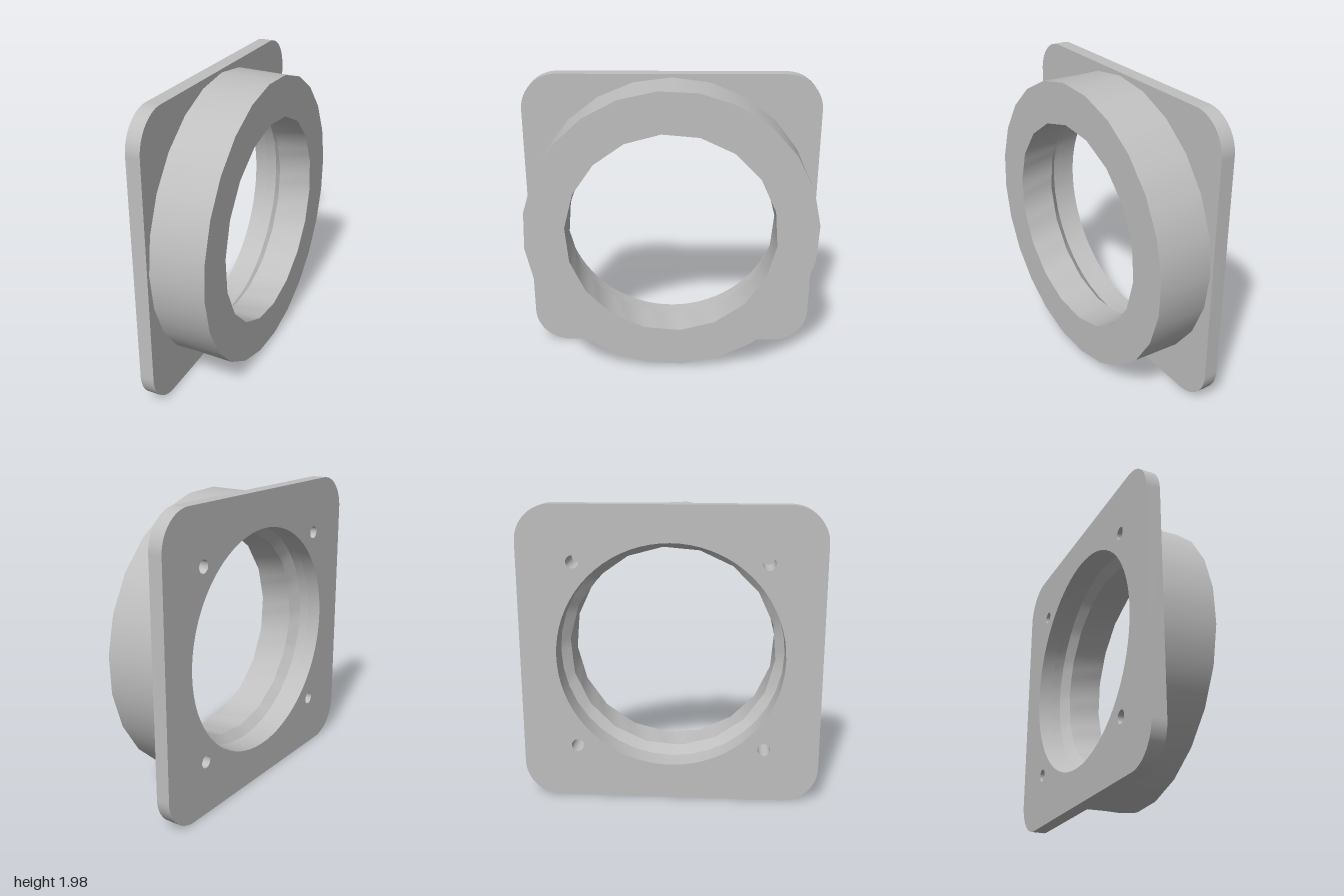
import * as THREE from 'three';
import { toCreasedNormals } from 'three/addons/utils/BufferGeometryUtils.js';

const STEPS = 72;
const CREASE = 0.6;

// Radius of a regular n-gon (corner radius r, first corner at phase degrees) at angle a.
function polygonRadius(r, n, phase, a) {
  const sector = (2 * Math.PI) / n;
  let t = (a - THREE.MathUtils.degToRad(phase)) % sector;
  if (t < 0) t += sector;
  return (r * Math.cos(sector / 2)) / Math.cos(t - sector / 2);
}

// Surface through successive rings [x, radius, sides, phase] around the x axis.
function loftRings(rings) {
  const positions = [];
  const index = [];
  rings.forEach(([x, r, n, phase], k) => {
    for (let j = 0; j < STEPS; j++) {
      const a = (j / STEPS) * 2 * Math.PI;
      const rad = polygonRadius(r, n, phase, a);
      positions.push(x, rad * Math.sin(a), -rad * Math.cos(a));
      if (k < rings.length - 1) {
        const p = k * STEPS + j;
        const q = k * STEPS + ((j + 1) % STEPS);
        index.push(p, q, p + STEPS, q, q + STEPS, p + STEPS);
      }
    }
  });
  const g = new THREE.BufferGeometry();
  g.setAttribute('position', new THREE.Float32BufferAttribute(positions, 3));
  g.setIndex(index);
  return toCreasedNormals(g, CREASE);
}

function roundedSquare(h, r) {
  const s = new THREE.Shape();
  const c = h - r;
  s.absarc(c, c, r, 0, Math.PI / 2);
  s.absarc(-c, c, r, Math.PI / 2, Math.PI);
  s.absarc(-c, -c, r, Math.PI, 1.5 * Math.PI);
  s.absarc(c, -c, r, 1.5 * Math.PI, 2 * Math.PI);
  s.closePath();
  return s;
}

export function createModel() {
  const grey = new THREE.MeshStandardMaterial({ color: 0xbfbfbf, side: THREE.DoubleSide });
  grey.name = 'grey';

  const thick = 0.095; // flange plate
  const depth = 0.46; // plate and collar together
  const boreR = 0.75;
  const holeR = 0.042;
  const holeAt = 0.625;
  const corners = [[1, 1], [1, -1], [-1, 1], [-1, -1]];

  const adapter = new THREE.Group();
  adapter.name = 'flangedCollar';
  const add = (name, geometry) => {
    const m = new THREE.Mesh(geometry, grey);
    m.name = name;
    adapter.add(m);
    return m;
  };

  // Square flange with the bore and four screw holes
  const outline = roundedSquare(0.99, 0.24);
  const cut = (x, y, r) => outline.holes.push(new THREE.Path().absarc(x, y, r, 0, 2 * Math.PI, true));
  cut(0, 0, boreR);
  corners.forEach(([sy, sz]) => cut(sz * holeAt, sy * holeAt, holeR));
  const plate = new THREE.ExtrudeGeometry(outline, { depth: thick, bevelEnabled: false, curveSegments: 36 });
  plate.rotateY(Math.PI / 2);
  add('flangePlate', toCreasedNormals(plate, CREASE));

  // Collar: outer wall, front face, narrow bore, chamfer, wide bore
  add('collar', loftRings([
    [thick, 0.968, 24, 0],
    [depth, 0.968, 24, 5],
    [depth, 0.697, 18, 15],
    [0.22, 0.697, 18, 5],
    [0.165, boreR, 36, 0],
    [thick, boreR, 72, 0],
  ]));

  // Blind ends of the screw holes
  const pocket = new THREE.LatheGeometry(
    [[0, 0.22], [holeR, 0.22], [holeR, thick]].map(([x, y]) => new THREE.Vector2(x, y)), 24);
  pocket.rotateZ(-Math.PI / 2);
  const pocketGeometry = toCreasedNormals(pocket, CREASE);
  corners.forEach(([sy, sz]) => add('screwHole', pocketGeometry).position.set(0, sy * holeAt, sz * holeAt));

  // Whole part is turned slightly about the vertical axis
  adapter.rotation.y = 0.091;
  adapter.position.set(-0.23, 0.99, 0.005);

  const model = new THREE.Group();
  model.name = 'model';
  model.add(adapter);
  return model;
}
